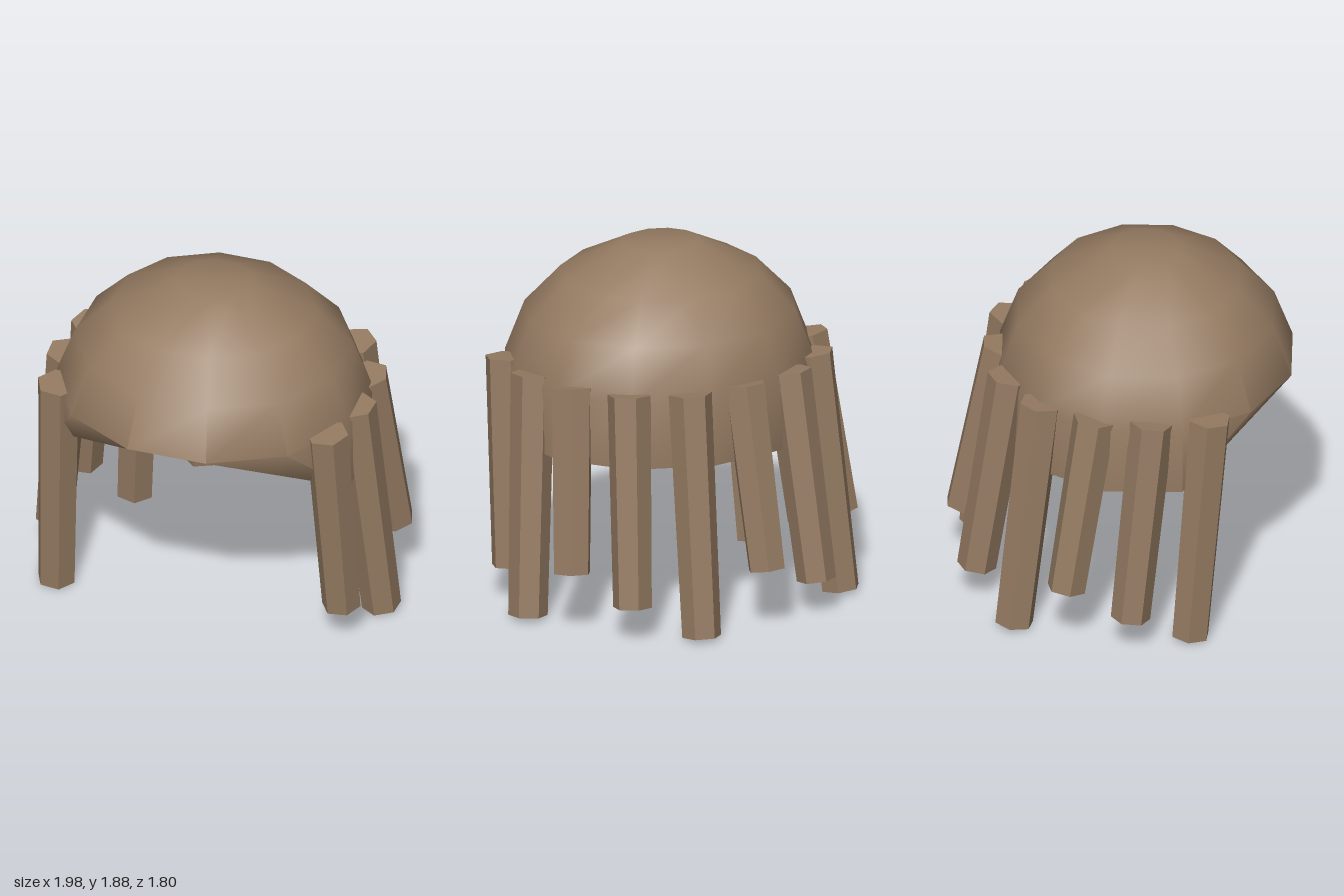
import * as THREE from 'three';
import { toCreasedNormals } from 'three/addons/utils/BufferGeometryUtils.js';

const COLOR = 0x957b62;
const SIDES = 12;
const CENTER_Z = 0.135;

// Dome of stacked 12-sided rings, with a skirt at the sides and back
// and an underside that slants up to the front rim.
function capGeometry() {
  const rings = [ // [x radius, z radius, y]
    [0.21, 0.19, 1.88], [0.54, 0.507, 1.72], [0.735, 0.69, 1.52],
    [0.84, 0.79, 1.25], [0.84, 0.79, 0.89],
  ];
  const last = rings.length - 1;
  const isFront = (k) => k < 2 || k > 9;
  const point = (r, k) => {
    k %= SIDES;
    const [rx, rz, y] = rings[r === last && isFront(k) ? last - 1 : r];
    const a = ((k + 0.5) / SIDES) * Math.PI * 2;
    return new THREE.Vector3(rx * Math.sin(a), y, CENTER_Z + rz * Math.cos(a));
  };
  const positions = [];
  const tri = (a, b, c) => {
    if (new THREE.Triangle(a, b, c).getArea() < 1e-6) return;
    for (const p of [a, b, c]) positions.push(p.x, p.y, p.z);
  };

  const top = new THREE.Vector3(0, 1.88, CENTER_Z);
  for (let k = 0; k < SIDES; k++) {
    tri(top, point(0, k), point(0, k + 1));
    for (let r = 0; r < last; r++) {
      tri(point(r + 1, k), point(r + 1, k + 1), point(r, k + 1));
      tri(point(r + 1, k), point(r, k + 1), point(r, k));
    }
  }
  // slanted front underside, then the flat bottom
  const under = [[2, 1, 0], [2, 0, 11], [2, 11, 9], [11, 10, 9]];
  for (let k = 3; k < 9; k++) under.push([2, k + 1, k]);
  for (const t of under) tri(...t.map((k) => point(last, k)));

  const geometry = new THREE.BufferGeometry();
  geometry.setAttribute('position', new THREE.Float32BufferAttribute(positions, 3));
  return toCreasedNormals(geometry, THREE.MathUtils.degToRad(50));
}

// Tapered six-sided lock running from its top centre to its bottom centre,
// with one flat side facing outwards.
function createLock(top, bottom, material) {
  const axis = top.clone().sub(bottom);
  const geometry = new THREE.CylinderGeometry(0.115, 0.103, axis.length(), 6);
  geometry.rotateY(Math.PI / 6 + Math.atan2(top.x, top.z - CENTER_Z));
  const lock = new THREE.Mesh(geometry, material);
  lock.quaternion.setFromUnitVectors(new THREE.Vector3(0, 1, 0), axis.normalize());
  lock.position.addVectors(top, bottom).multiplyScalar(0.5);
  return lock;
}

export function createModel() {
  const model = new THREE.Group();
  model.name = 'hair';

  const cap = new THREE.Mesh(capGeometry(), new THREE.MeshStandardMaterial({ color: COLOR }));
  cap.name = 'hairCap';
  model.add(cap);

  // Locks from the front to the back: [top x, top z, bottom x, bottom z]
  const half = [
    [0.74, 0.48, 0.785, 0.38],
    [0.79, 0.18, 0.9, 0.07],
    [0.755, -0.12, 0.86, -0.265],
    [0.59, -0.4, 0.67, -0.54],
    [0.32, -0.57, 0.37, -0.74],
    [0, -0.61, 0, -0.81],
  ];
  const mirrored = half.slice(0, -1).reverse().map(([tx, tz, bx, bz]) => [-tx, tz, -bx, bz]);
  const ends = [0.18, 0.015, 0.33]; // three lengths repeat around the head
  const lockMaterial = new THREE.MeshStandardMaterial({ color: COLOR, flatShading: true });
  const locks = new THREE.Group();
  locks.name = 'hairLocks';
  [...half, ...mirrored].forEach(([tx, tz, bx, bz], i) => {
    const lock = createLock(
      new THREE.Vector3(tx, 1.295, tz), new THREE.Vector3(bx, ends[i % 3], bz), lockMaterial);
    lock.name = `lock${i + 1}`;
    locks.add(lock);
  });
  model.add(locks);
  return model;
}
